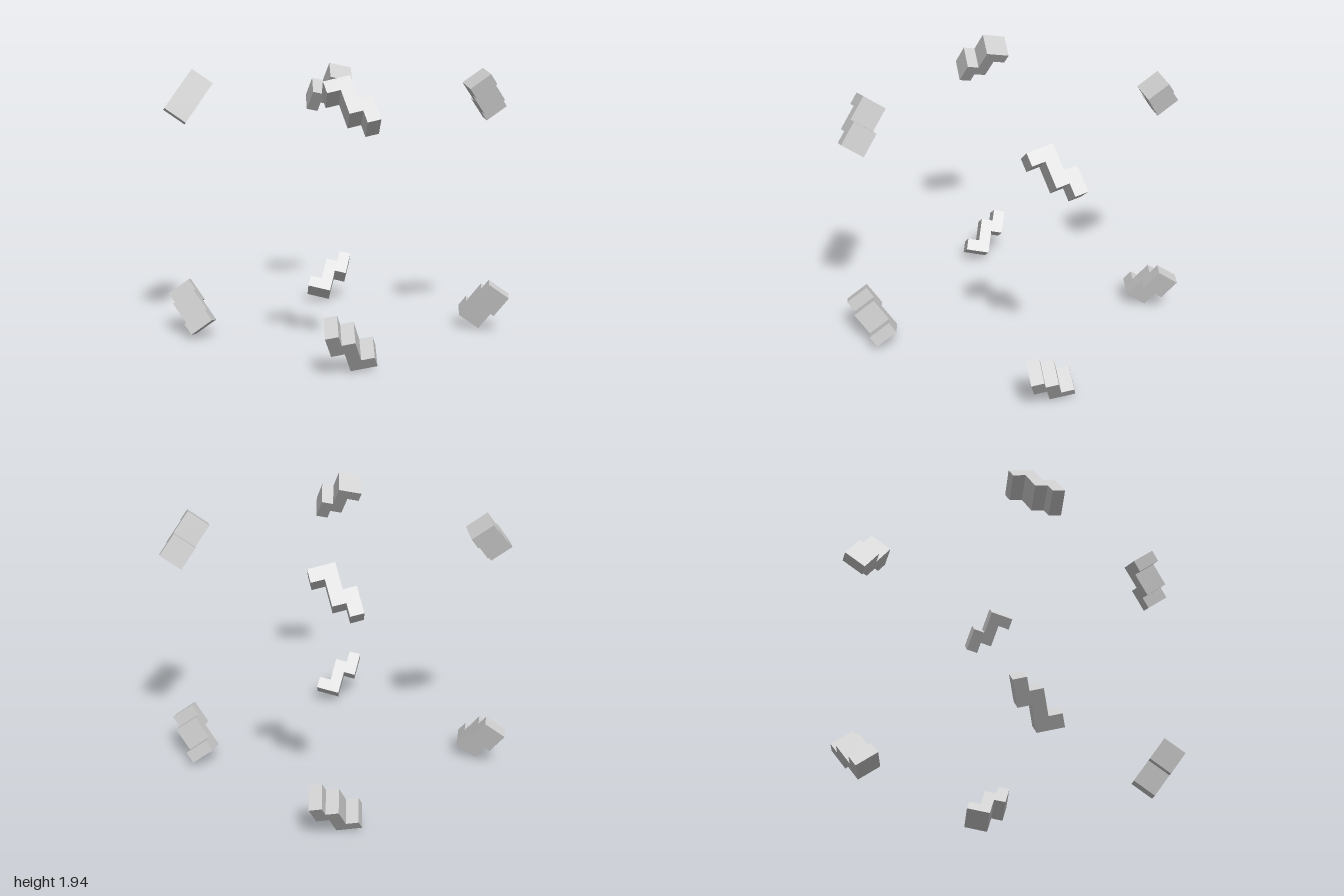
import * as THREE from 'three';

const CELL = 0.0904;      // width of one step of the zigzag
const OFFSET = 0.765;     // distance of each block's centre along every axis
const CENTRE_Y = 0.9695;  // height of the middle of the arrangement

// Stepped zigzag outline, in cells, on a 3 x 4 field centred on the origin
function zigzagGeometry() {
  const outline = [[0, 0], [0, 1], [1, 1], [1, 3], [2, 3], [2, 4], [3, 4], [3, 2], [2, 2], [2, 0]];
  const points = outline.map(([u, v]) => new THREE.Vector2((u - 1.5) * CELL, (2 - v) * CELL));
  const geometry = new THREE.ExtrudeGeometry(new THREE.Shape(points), {
    depth: 2 * CELL,
    bevelEnabled: false,
  });
  return geometry.translate(0, 0, -CELL);
}

export function createModel() {
  const model = new THREE.Group();
  model.name = 'zigzagBlocks';
  const material = new THREE.MeshStandardMaterial({ color: 0xcccccc, flatShading: true });

  // Turn the block so its thickness points outward along the cube diagonal
  const tilt = new THREE.Quaternion().setFromUnitVectors(
    new THREE.Vector3(1, 0, 0), new THREE.Vector3(1, 1, 1).normalize());
  const across = new THREE.Vector3(0, 0, -1).applyQuaternion(tilt);
  const up = new THREE.Vector3(0, 1, 0).applyQuaternion(tilt);
  const outward = new THREE.Vector3(1, 0, 0).applyQuaternion(tilt);
  const geometry = zigzagGeometry()
    .applyMatrix4(new THREE.Matrix4().makeBasis(across, up, outward))
    .translate(OFFSET, OFFSET, OFFSET);

  // Four blocks around the vertical axis; the lower ring is the upper one turned over
  for (const level of ['upper', 'lower']) {
    const ring = new THREE.Group();
    ring.name = level + 'Ring';
    for (let i = 0; i < 4; i++) {
      const block = new THREE.Mesh(geometry, material);
      block.name = level + 'Block' + (i + 1);
      block.rotation.y = i * Math.PI / 2;
      ring.add(block);
    }
    if (level === 'lower') ring.rotation.z = Math.PI;
    ring.position.y = CENTRE_Y;
    model.add(ring);
  }
  return model;
}
